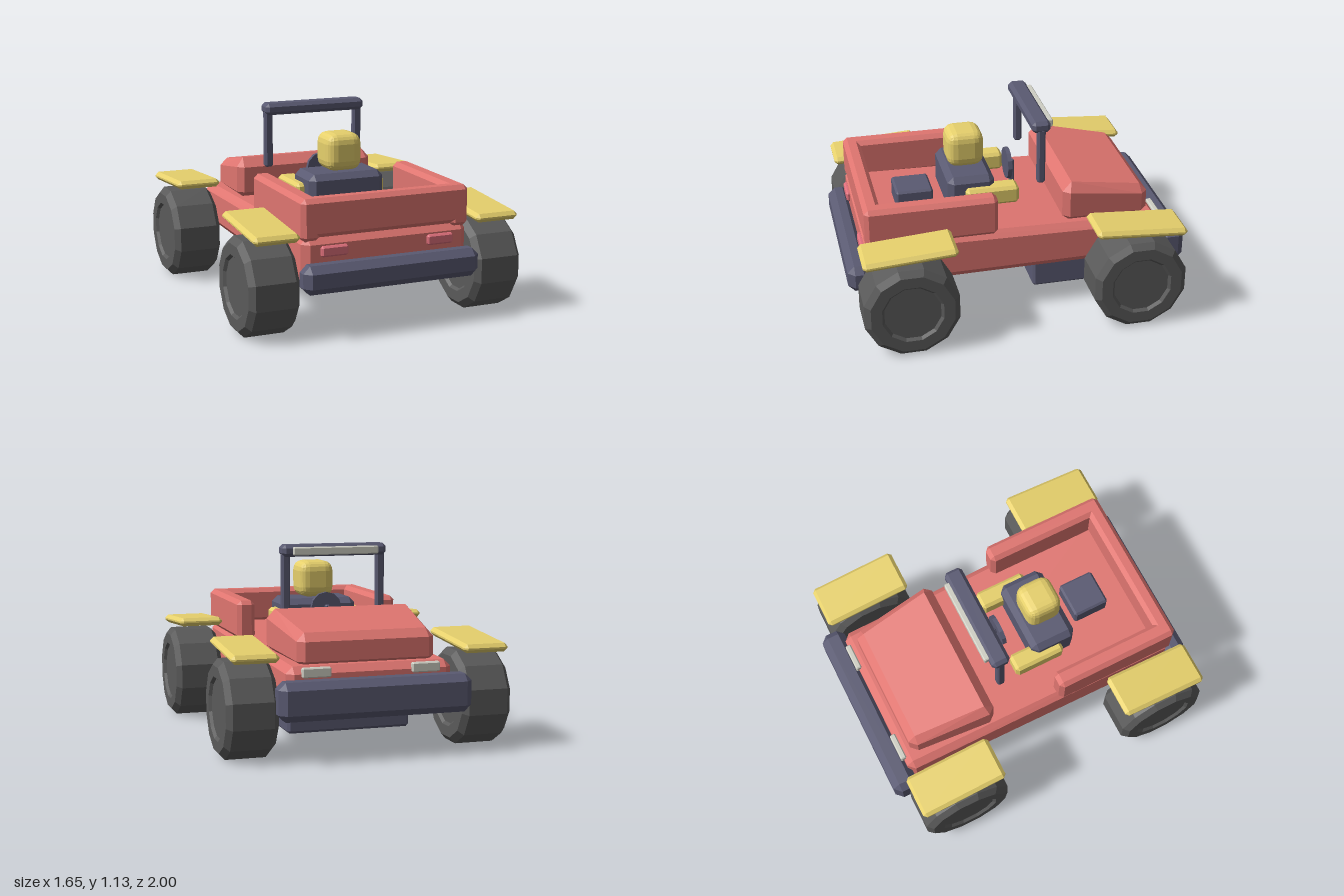
import * as THREE from 'three';
import { ConvexGeometry } from 'three/addons/geometries/ConvexGeometry.js';
import { RoundedBoxGeometry } from 'three/addons/geometries/RoundedBoxGeometry.js';

const paint = (color) => new THREE.MeshStandardMaterial({ color, flatShading: true });

export function createModel() {
  const model = new THREE.Group();
  const red = paint(0xdf7570), yellow = paint(0xe6d06c), navy = paint(0x5a5a72);
  const rubber = paint(0x5a5a5a), glass = paint(0xcfcfc4), lamp = paint(0xe0707c);

  function add(name, geometry, material, x = 0, y = 0, z = 0) {
    const mesh = new THREE.Mesh(geometry, material);
    mesh.name = name;
    mesh.position.set(x, y, z);
    model.add(mesh);
    return mesh;
  }

  // Box with every edge chamfered by c
  function chamferBox(w, h, d, c) {
    const points = [];
    for (const sx of [-1, 1]) for (const sy of [-1, 1]) for (const sz of [-1, 1]) {
      for (let full = 0; full < 3; full++) {
        points.push(new THREE.Vector3(
          sx * (w / 2 - (full === 0 ? 0 : c)),
          sy * (h / 2 - (full === 1 ? 0 : c)),
          sz * (d / 2 - (full === 2 ? 0 : c))));
      }
    }
    return new ConvexGeometry(points);
  }

  // Chamfered box given by its limits on each axis
  function block(name, material, [x0, x1], [y0, y1], [z0, z1], c) {
    return add(name, chamferBox(x1 - x0, y1 - y0, z1 - z0, c), material,
      (x0 + x1) / 2, (y0 + y1) / 2, (z0 + z1) / 2);
  }

  // Convex solid from [half width, y, z] pairs mirrored across x
  function mirroredHull(name, material, rows) {
    const points = rows.flatMap(([x, y, z]) =>
      [new THREE.Vector3(x, y, z), new THREE.Vector3(-x, y, z)]);
    return add(name, new ConvexGeometry(points), material);
  }

  // Tapered lower body
  mirroredHull('body', red, [
    [0.46, 0.265, 0.85], [0.50, 0.31, 0.85], [0.46, 0.31, 0.89],
    [0.50, 0.515, 0.85], [0.46, 0.515, 0.89], [0.46, 0.56, 0.85],
    [0.44, 0.265, -0.83], [0.48, 0.31, -0.83], [0.44, 0.31, -0.87],
    [0.48, 0.475, -0.83], [0.44, 0.475, -0.87], [0.44, 0.515, -0.83],
  ]);

  // Sloping hood
  mirroredHull('hood', red, [
    [0.41, 0.53, -0.32], [0.445, 0.56, -0.32], [0.41, 0.56, -0.28],
    [0.445, 0.715, -0.32], [0.41, 0.715, -0.28], [0.40, 0.77, -0.335],
    [0.36, 0.50, -0.77], [0.40, 0.53, -0.77], [0.36, 0.53, -0.81],
    [0.40, 0.64, -0.77], [0.36, 0.64, -0.81], [0.355, 0.687, -0.765],
  ]);

  // Open bed walls
  block('bedEndWall', red, [-0.505, 0.505], [0.55, 0.767], [0.79, 0.89], 0.025);
  for (const s of [-1, 1]) {
    block('bedSideWall', red, s > 0 ? [0.395, 0.505] : [-0.505, -0.395],
      [0.53, 0.767], [0.12, 0.89], 0.025);
  }

  // Bumpers and underside box
  block('hoodEndBumper', navy, [-0.555, 0.555], [0.235, 0.45], [-1, -0.85], 0.04);
  block('bedEndBumper', navy, [-0.53, 0.53], [0.26, 0.422], [0.87, 1], 0.04);
  block('undersideBox', navy, [-0.37, 0.37], [0.065, 0.27], [-0.49, -0.12], 0.015);

  // Seat, head and bed box
  block('seat', navy, [-0.235, 0.235], [0.54, 0.772], [0.08, 0.36], 0.035);
  block('bedBox', navy, [-0.11, 0.11], [0.54, 0.66], [0.43, 0.65], 0.012);
  add('head', new RoundedBoxGeometry(0.22, 0.22, 0.22, 2, 0.06), yellow, 0, 0.885, 0.225);

  // Steering wheel and column
  const steering = add('steeringWheel', new THREE.CylinderGeometry(0.095, 0.095, 0.025, 12),
    navy, 0, 0.73, -0.043);
  steering.rotation.x = Math.PI / 2;
  block('steeringColumn', navy, [-0.013, 0.013], [0.585, 0.75], [-0.085, -0.055], 0.006);

  // Roll bar with light strip
  block('rollBarTop', navy, [-0.32, 0.32], [1.055, 1.125], [-0.23, -0.12], 0.02);
  block('lightStrip', glass, [-0.26, 0.26], [1.065, 1.112], [-0.255, -0.22], 0.006);

  // Wheel profile turned about its axle: [radius, offset]
  const profile = [[0, -0.13], [0.165, -0.13], [0.18, -0.146], [0.245, -0.146], [0.28, -0.115],
    [0.28, 0.115], [0.245, 0.146], [0.18, 0.146], [0.165, 0.13], [0, 0.13]];
  const wheelGeometry = new THREE.LatheGeometry(
    profile.map(([r, o]) => new THREE.Vector2(r, o)), 12);
  wheelGeometry.rotateY(Math.PI / 12).rotateZ(Math.PI / 2);
  const fenderGeometry = chamferBox(0.265, 0.05, 0.535, 0.02);

  // Parts repeated on both sides
  for (const s of [-1, 1]) {
    add('rollBarPost', chamferBox(0.05, 0.345, 0.046, 0.01), navy, s * 0.292, 0.907, -0.177);
    add('armRest', chamferBox(0.115, 0.11, 0.315, 0.018), yellow, s * 0.223, 0.655, 0.103);
    add('headlight', chamferBox(0.165, 0.056, 0.035, 0.007), glass, s * 0.317, 0.483, -0.87);
    add('tailLight', chamferBox(0.16, 0.06, 0.04, 0.01), lamp, s * 0.32, 0.476, 0.89);
    for (const [z, tilt] of [[0.68, 0.07], [-0.65, -0.07]]) {
      add('wheel', wheelGeometry, rubber, s * 0.679, 0.27, z);
      add('fender', fenderGeometry, yellow, s * 0.665, 0.593, z - 0.004).rotation.x = tilt;
    }
  }
  return model;
}
